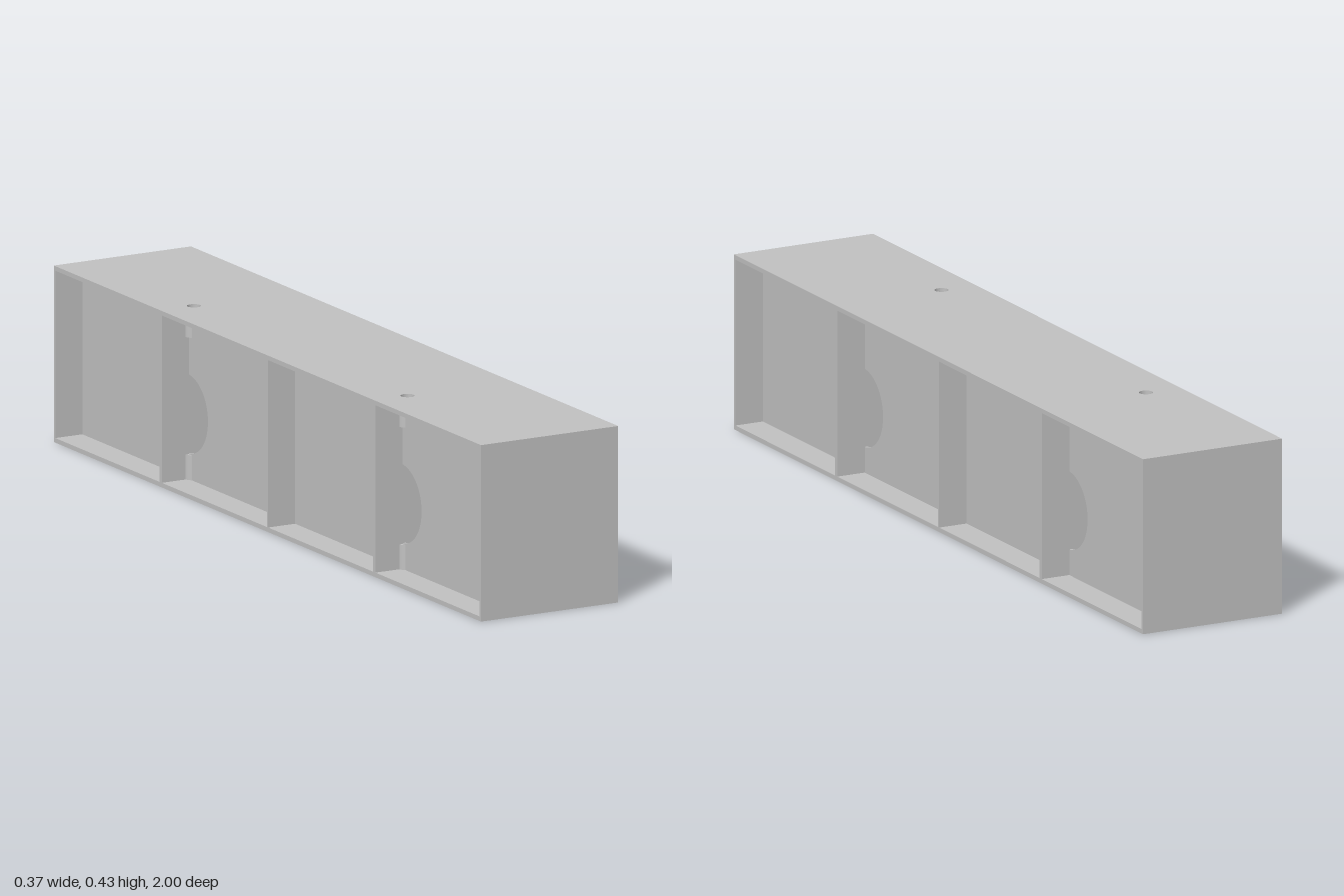
import * as THREE from 'three';

const W = 0.37, H = 0.425, L = 2;      // overall width, height, length
const T = 0.011, END = 0.007;          // plate and end wall thickness
const HOLE_Z = [-0.5, 0.5];            // stations of the large and small holes
const BOLT_X = -0.095, BOLT_R = 0.0165;

// Rectangle centred on the origin with round holes given as [x, y, radius]
function plateShape(w, h, holes) {
  const s = new THREE.Shape();
  s.moveTo(-w / 2, -h / 2);
  s.lineTo(w / 2, -h / 2);
  s.lineTo(w / 2, h / 2);
  s.lineTo(-w / 2, h / 2);
  s.closePath();
  for (const [x, y, r] of holes) s.holes.push(new THREE.Path().absarc(x, y, r, 0, Math.PI * 2, true));
  return s;
}

const extrude = (shape, depth) =>
  new THREE.ExtrudeGeometry(shape, { depth, bevelEnabled: false, curveSegments: 32 });

export function createModel() {
  const model = new THREE.Group();
  const grey = new THREE.MeshStandardMaterial({ color: 0xc0c0c0 });
  grey.name = 'plain grey';

  const add = (name, geometry, x, y, z) => {
    const mesh = new THREE.Mesh(geometry, grey);
    mesh.name = name;
    mesh.position.set(x, y, z);
    model.add(mesh);
  };

  // Top and bottom plates with two bolt holes each
  const deck = extrude(plateShape(W, L, HOLE_Z.map(z => [BOLT_X, z, BOLT_R])), T).rotateX(-Math.PI / 2);
  add('bottomPlate', deck, 0, 0, 0);
  add('topPlate', deck, 0, H - T, 0);

  // Solid end walls
  const inner = H - 2 * T;
  for (const s of [-1, 1])
    add(s > 0 ? 'frontWall' : 'backWall', new THREE.BoxGeometry(W, inner, END), 0, H / 2, s * (L / 2 - END / 2));

  // Recessed side panels with large round openings
  const web = 0.008, face = 0.112;
  const panel = extrude(
    plateShape(L - 2 * END, inner, HOLE_Z.map(z => [z, 0.168 - H / 2, 0.095])), web
  ).rotateY(Math.PI / 2);
  add('leftPanel', panel, face - web, H / 2, 0);
  add('rightPanel', panel, -face, H / 2, 0);

  // Cross dividers running the full width
  for (const z of [-0.5, 0, 0.5])
    add('divider', new THREE.BoxGeometry(W, inner, z ? 0.011 : 0.006), 0, H / 2, z);

  // Short bolt sleeves above and below
  const ring = new THREE.Shape().absarc(0, 0, 0.026, 0, Math.PI * 2, false);
  ring.holes.push(new THREE.Path().absarc(0, 0, BOLT_R, 0, Math.PI * 2, true));
  const sleeve = extrude(ring, 0.06).rotateX(-Math.PI / 2);
  for (const z of HOLE_Z) {
    add('lowerSleeve', sleeve, BOLT_X, T, z);
    add('upperSleeve', sleeve, BOLT_X, H - T - 0.06, z);
  }
  return model;
}
